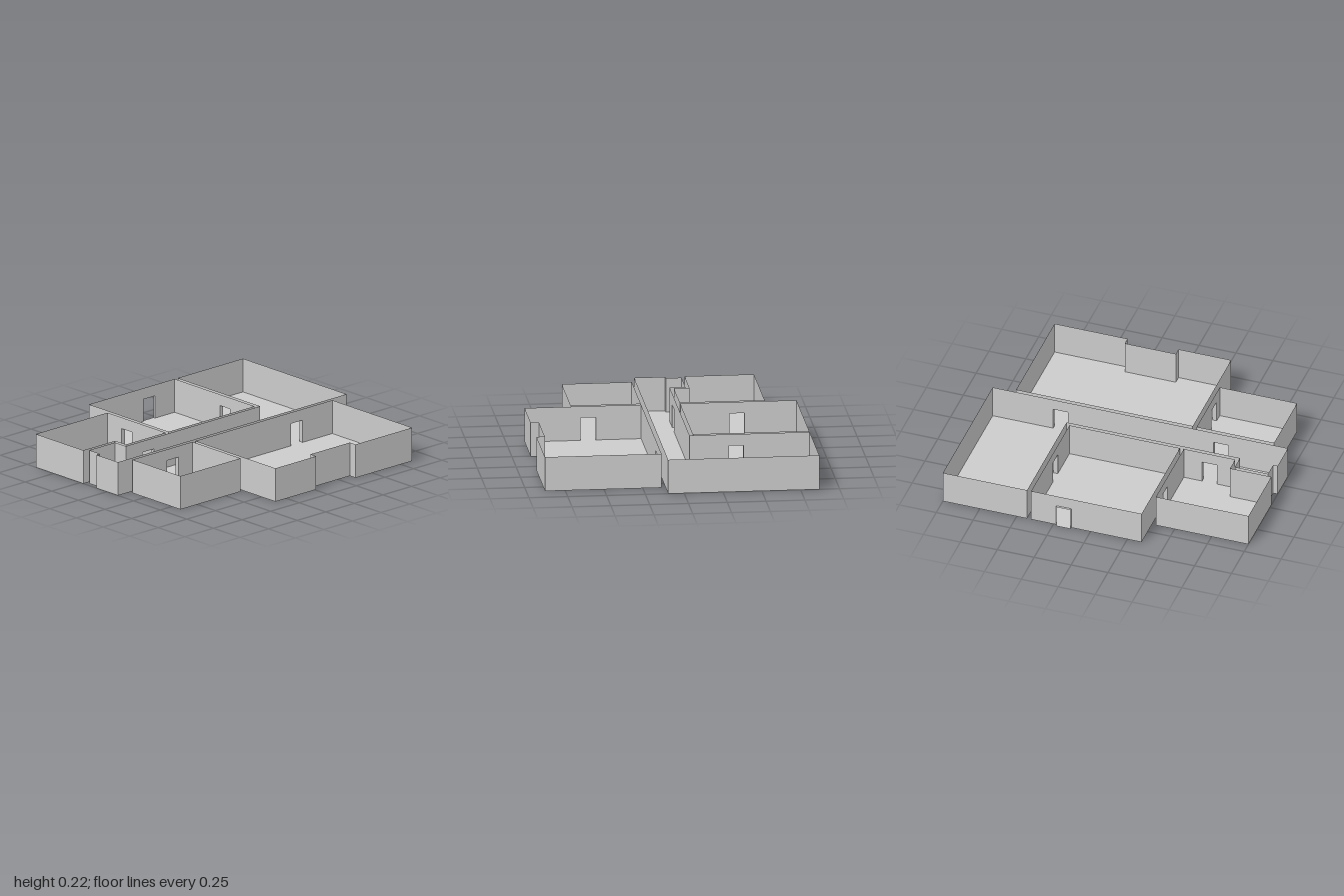
import * as THREE from 'three';

const WALL_H = 0.225, DOOR_H = 0.15;
const material = new THREE.MeshStandardMaterial({ color: 0xcccccc, side: THREE.DoubleSide, flatShading: true });

// Room outlines as [x, z] corners
const rooms = {
  hallway: [[-0.87, -1], [0.103, -1], [0.103, 1], [-0.097, 1], [-0.097, 0.97], [-0.198, 0.97],
    [-0.198, 0.745], [-0.097, 0.745], [-0.097, -0.43], [-0.87, -0.43]],
  leftBackRoom: [[-0.87, -0.402], [-0.122, -0.402], [-0.122, 0.346], [-0.87, 0.346]],
  leftFrontRoom: [[-0.668, 0.373], [-0.122, 0.373], [-0.122, 0.721], [-0.222, 0.721], [-0.222, 1], [-0.668, 1]],
  largeRoom: [[0.13, -0.85], [0.88, -0.85], [0.88, -0.355], [0.827, -0.355], [0.827, -0.01], [0.88, -0.01],
    [0.88, 0.346], [0.13, 0.346]],
  smallRoom: [[0.13, 0.373], [0.58, 0.373], [0.58, 0.897], [0.13, 0.897]],
};

// Doorways: passage runs along `axis` from a to b, and spans lo..hi across it
const doors = [
  { axis: 0, a: 0.103, b: 0.13, lo: -0.59, hi: -0.49 },
  { axis: 0, a: 0.103, b: 0.13, lo: 0.497, hi: 0.597 },
  { axis: 0, a: -0.122, b: -0.097, lo: 0.497, hi: 0.597 },
  { axis: 0, a: -0.885, b: -0.87, lo: -0.23, hi: -0.13 },
  { axis: 1, a: -0.43, b: -0.402, lo: -0.445, hi: -0.35 },
  { axis: 1, a: 0.346, b: 0.373, lo: -0.535, hi: -0.44 },
  { axis: 1, a: 0.346, b: 0.373, lo: 0.422, hi: 0.52 },
];

function addSheet(group, name, points) {
  const shape = new THREE.Shape(points.map(([u, v]) => new THREE.Vector2(u, v)));
  const mesh = new THREE.Mesh(new THREE.ShapeGeometry(shape), material);
  mesh.name = name;
  group.add(mesh);
  return mesh;
}

// Horizontal sheet from [x, z] corners
function addSlab(group, name, corners, y) {
  const slab = addSheet(group, name, corners.map(([x, z]) => [x, -z]));
  slab.geometry.rotateX(-Math.PI / 2);
  slab.position.y = y;
}

// Upright sheet from p to q, with door notches [start, end] along its length
function addWall(group, name, p, q, height, notches = []) {
  const length = Math.hypot(q[0] - p[0], q[1] - p[1]);
  const outline = [[0, 0]];
  notches.sort((m, n) => m[0] - n[0]).forEach(([s, e]) =>
    outline.push([s, 0], [s, DOOR_H], [e, DOOR_H], [e, 0]));
  outline.push([length, 0], [length, height], [0, height]);
  const wall = addSheet(group, name, outline);
  wall.position.set(p[0], 0, p[1]);
  wall.rotation.y = -Math.atan2(q[1] - p[1], q[0] - p[0]);
}

// Doors that open through the straight wall p-q
function notchesFor(p, q) {
  const axis = p[0] === q[0] ? 0 : 1, along = 1 - axis;
  const min = Math.min(p[along], q[along]), max = Math.max(p[along], q[along]);
  return doors
    .filter(d => d.axis === axis && (d.a === p[axis] || d.b === p[axis]) && d.lo > min && d.hi < max)
    .map(d => [Math.abs(d.lo - p[along]), Math.abs(d.hi - p[along])].sort((m, n) => m - n));
}

export function createModel() {
  const model = new THREE.Group();
  model.name = 'floorPlan';

  // Open-topped rooms
  for (const [name, corners] of Object.entries(rooms)) {
    const room = new THREE.Group();
    room.name = name;
    addSlab(room, 'floor', corners, 0);
    corners.forEach((p, i) => {
      const q = corners[(i + 1) % corners.length];
      addWall(room, 'wall', p, q, WALL_H, notchesFor(p, q));
    });
    model.add(room);
  }

  // Short door passages through the gaps between rooms
  for (const { axis, a, b, lo, hi } of doors) {
    const doorway = new THREE.Group();
    doorway.name = 'doorway';
    const at = (u, v) => (axis === 0 ? [u, v] : [v, u]);
    const corners = [at(a, lo), at(b, lo), at(b, hi), at(a, hi)];
    addSlab(doorway, 'threshold', corners, 0);
    addSlab(doorway, 'lintel', corners, DOOR_H);
    addWall(doorway, 'jamb', corners[0], corners[1], DOOR_H);
    addWall(doorway, 'jamb', corners[3], corners[2], DOOR_H);
    model.add(doorway);
  }
  return model;
}
